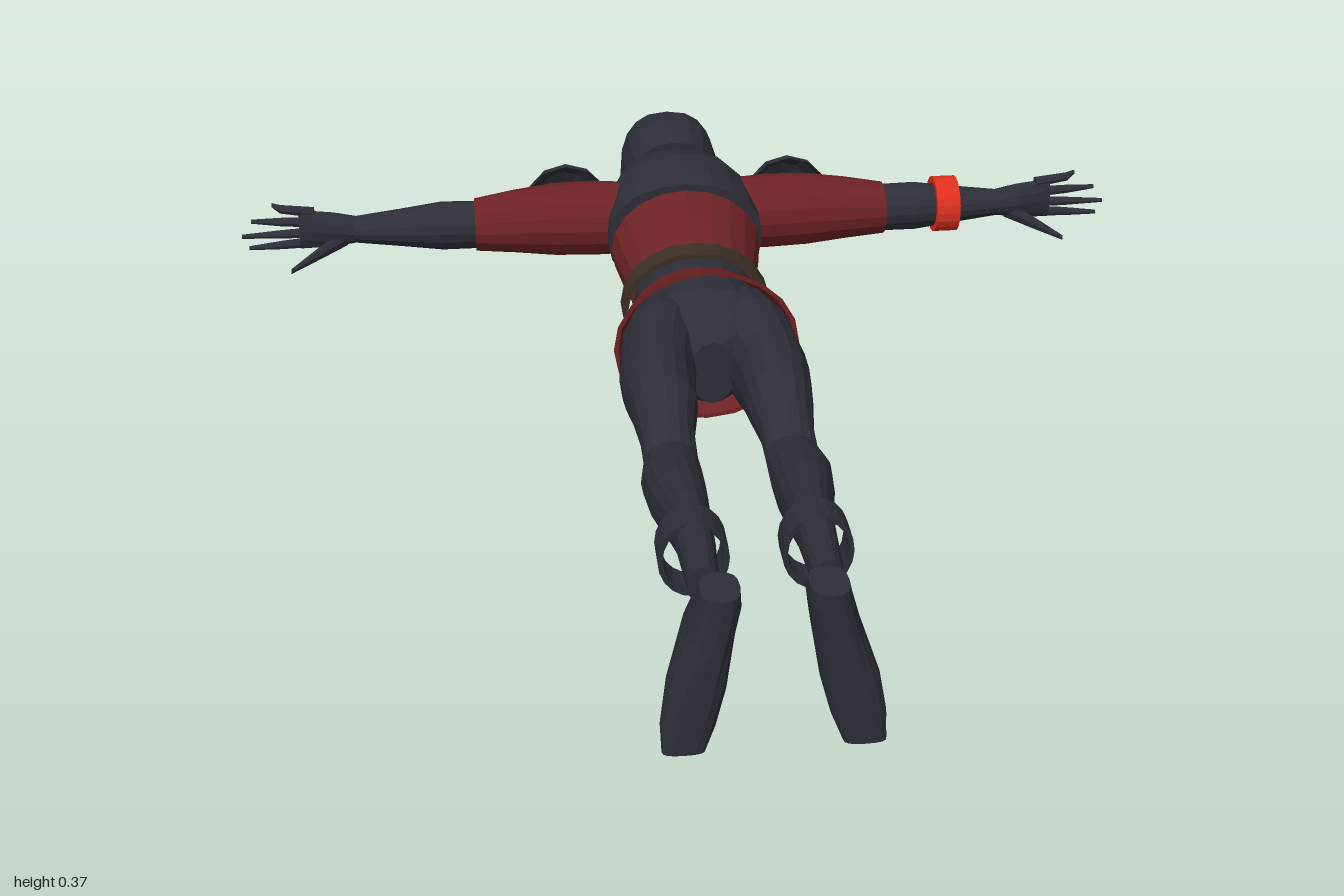
import * as THREE from 'three';

const mat = (name, color, side = THREE.FrontSide) => {
  const m = new THREE.MeshStandardMaterial({ color, side });
  m.name = name;
  return m;
};

// Elliptical sections [t, centreA, centreB, radiusA, radiusB] joined along an axis.
// Axis z: (a, b) = (x, y); axis x: (y, z); axis y: (z, x).
function loft(axis, sections, { sides = 16, power = 2, capped = true } = {}) {
  const list = capped && sections[0][0] > sections[sections.length - 1][0] ? [...sections].reverse() : sections;
  const place = { z: (t, a, b) => [a, b, t], x: (t, a, b) => [t, a, b], y: (t, a, b) => [b, t, a] }[axis];
  const bend = (v) => Math.sign(v) * Math.abs(v) ** (2 / power);
  const point = ([t, a, b, ra, rb], j) => {
    const k = (j / sides) * Math.PI * 2;
    return place(t, a + ra * bend(Math.cos(k)), b + rb * bend(Math.sin(k)));
  };
  const pos = [];
  for (let j = 0; j < sides; j++) {
    for (let i = 0; i + 1 < list.length; i++) {
      const A = point(list[i], j), B = point(list[i], j + 1);
      const C = point(list[i + 1], j + 1), D = point(list[i + 1], j);
      pos.push(...A, ...B, ...C, ...A, ...C, ...D);
    }
    if (capped) {
      const s = list[0], e = list[list.length - 1];
      pos.push(...place(s[0], s[1], s[2]), ...point(s, j + 1), ...point(s, j));
      pos.push(...place(e[0], e[1], e[2]), ...point(e, j), ...point(e, j + 1));
    }
  }
  const g = new THREE.BufferGeometry();
  g.setAttribute('position', new THREE.Float32BufferAttribute(pos, 3));
  g.computeVertexNormals();
  return g;
}

// Hollow band between two sections with a wall thickness
function band(axis, s0, s1, wall) {
  const inner = ([t, a, b, ra, rb]) => [t, a, b, ra - wall, rb - wall];
  return loft(axis, [s0, s1, inner(s1), inner(s0), s0], { sides: 20, capped: false });
}

export function createModel() {
  const model = new THREE.Group();
  model.name = 'proneFigure';
  const dark = mat('charcoal', 0x2d2e37, THREE.DoubleSide);
  const red = mat('deepRed', 0x6e2225);
  const bright = mat('brightRed', 0xdf301d);
  const signal = mat('signalRed', 0xb8322a);
  const brown = mat('beltBrown', 0x3c3026);
  const add = (name, geometry, material) => {
    const mesh = new THREE.Mesh(geometry, material);
    mesh.name = name;
    model.add(mesh);
    return mesh;
  };

  // Head with its thin crest and face bar
  add('head', loft('z', [
    [-0.515, 0, 0.225, 0.088, 0.128], [-0.56, 0, 0.225, 0.097, 0.136], [-0.62, 0, 0.225, 0.1, 0.14],
    [-0.68, 0, 0.226, 0.098, 0.132], [-0.72, 0, 0.222, 0.083, 0.108],
    [-0.755, 0, 0.22, 0.053, 0.068], [-0.777, 0, 0.22, 0.02, 0.03],
  ], { sides: 20, power: 2.5 }), dark);
  add('crest', new THREE.BoxGeometry(0.014, 0.02, 0.26), signal).position.set(0, 0.203, -0.87);
  add('faceBar', new THREE.BoxGeometry(0.12, 0.03, 0.02), signal).position.set(0, 0.084, -0.67);
  add('neck', loft('z', [[-0.47, 0, 0.225, 0.09, 0.08], [-0.54, 0, 0.225, 0.075, 0.075]]), dark);

  // Torso, vest, belt and skirt
  add('torso', loft('z', [
    [-0.1, 0, 0.2, 0.118, 0.095], [-0.16, 0, 0.208, 0.122, 0.107],
    [-0.22, 0, 0.216, 0.134, 0.115], [-0.29, 0, 0.226, 0.145, 0.119],
    [-0.44, 0, 0.23, 0.143, 0.11], [-0.49, 0, 0.23, 0.12, 0.08],
  ], { sides: 20 }), red);
  add('vest', loft('z', [
    [-0.285, 0, 0.243, 0.15, 0.113], [-0.34, 0, 0.241, 0.151, 0.124], [-0.41, 0, 0.238, 0.146, 0.133],
    [-0.465, 0, 0.234, 0.134, 0.126], [-0.485, 0, 0.234, 0.11, 0.105], [-0.51, 0, 0.234, 0.06, 0.06],
  ], { sides: 20, power: 2.2 }), dark);
  add('belt', band('z', [-0.13, 0, 0.188, 0.139, 0.116], [-0.08, 0, 0.188, 0.139, 0.116], 0.01), brown);
  add('skirt', band('z', [-0.04, 0, 0.2, 0.123, 0.095], [0.09, 0, 0.198, 0.167, 0.147], 0.008), red);
  add('pelvis', loft('z', [
    [-0.11, 0, 0.2, 0.117, 0.09], [-0.04, 0, 0.2, 0.12, 0.09], [0.06, 0, 0.2, 0.143, 0.098],
    [0.12, 0, 0.197, 0.12, 0.088], [0.19, 0, 0.195, 0.04, 0.06],
  ]), dark);

  for (const s of [1, -1]) {
    const side = s > 0 ? 'left' : 'right';
    const alongX = (list) => list.map(([x, ...rest]) => [s * x, ...rest]);
    const shiftX = (list) => list.map(([z, x, ...rest]) => [z, s * x, ...rest]);

    // Arm and shoulder pad
    add(side + 'UpperArm', loft('x', alongX([
      [0.1, 0.25, -0.385, 0.07, 0.07], [0.17, 0.25, -0.39, 0.073, 0.072], [0.25, 0.25, -0.392, 0.071, 0.07],
      [0.33, 0.25, -0.39, 0.061, 0.063], [0.405, 0.248, -0.386, 0.051, 0.053],
    ])), red);
    add(side + 'Forearm', loft('x', alongX([
      [0.39, 0.248, -0.386, 0.046, 0.048], [0.47, 0.248, -0.388, 0.047, 0.047],
      [0.55, 0.247, -0.39, 0.036, 0.04], [0.64, 0.247, -0.39, 0.025, 0.03],
    ])), dark);
    const pad = new THREE.SphereGeometry(1, 12, 5, 0, Math.PI * 2, 0, Math.PI / 2).toNonIndexed();
    pad.rotateX(-Math.PI / 2).scale(0.088, 0.093, 0.09).translate(s * 0.222, 0.248, -0.436);
    pad.computeVertexNormals();
    add(side + 'ShoulderPad', pad, dark);

    // Hand with spread fingers
    add(side + 'Palm', loft('x', alongX([
      [0.63, 0.247, -0.39, 0.024, 0.029], [0.68, 0.25, -0.387, 0.036, 0.024], [0.745, 0.253, -0.388, 0.041, 0.013],
    ]), { sides: 12 }), dark);
    const fingers = [[0.287, 0.795, 0.305], [0.266, 0.837, 0.272], [0.245, 0.857, 0.241], [0.225, 0.845, 0.216]];
    fingers.forEach(([y0, x1, y1], i) => add(`${side}Finger${i + 1}`, loft('x', alongX([
      [0.715, y0, -0.389, 0.011, 0.011], [0.78, (y0 + y1) / 2, -0.39, 0.009, 0.009], [x1, y1, -0.391, 0.004, 0.005],
    ]), { sides: 8 }), dark));
    add(side + 'Thumb', loft('x', alongX([
      [0.655, 0.235, -0.383, 0.018, 0.014], [0.715, 0.21, -0.355, 0.012, 0.011], [0.762, 0.191, -0.327, 0.005, 0.005],
    ]), { sides: 8 }), dark);

    // Leg, ankle ring and foot
    add(side + 'Leg', loft('z', shiftX([
      [0.03, 0.075, 0.2, 0.06, 0.085], [0.1, 0.083, 0.198, 0.073, 0.097], [0.2, 0.098, 0.193, 0.067, 0.092],
      [0.26, 0.1, 0.2, 0.063, 0.082], [0.33, 0.098, 0.203, 0.057, 0.07], [0.4, 0.1, 0.188, 0.046, 0.05],
      [0.46, 0.1, 0.178, 0.045, 0.038], [0.53, 0.104, 0.181, 0.051, 0.052], [0.6, 0.101, 0.186, 0.047, 0.06],
      [0.68, 0.095, 0.197, 0.037, 0.053], [0.77, 0.092, 0.212, 0.03, 0.04], [0.88, 0.092, 0.21, 0.024, 0.033],
    ])), dark);
    const ankle = [s * 0.095, 0.185, 0.055, 0.065];
    add(side + 'AnkleRing', band('z', [0.715, ...ankle], [0.77, ...ankle], 0.008), dark);
    add(side + 'Foot', loft('y', [
      [0, 0.987, 0.133, 0.013, 0.032], [0.04, 0.972, 0.125, 0.028, 0.041], [0.1, 0.961, 0.112, 0.039, 0.044],
      [0.185, 0.94, 0.091, 0.06, 0.036], [0.235, 0.952, 0.08, 0.048, 0.033], [0.26, 0.961, 0.078, 0.039, 0.029],
    ].map(([y, z, x, rz, rx]) => [y, z, s * x, rz, rx]), { power: 2.7 }), dark);
  }

  // Cuff on the left wrist only
  add('wristCuff', band('x', [0.507, 0.25, -0.388, 0.055, 0.057], [0.553, 0.25, -0.388, 0.055, 0.057], 0.012), bright);
  return model;
}
